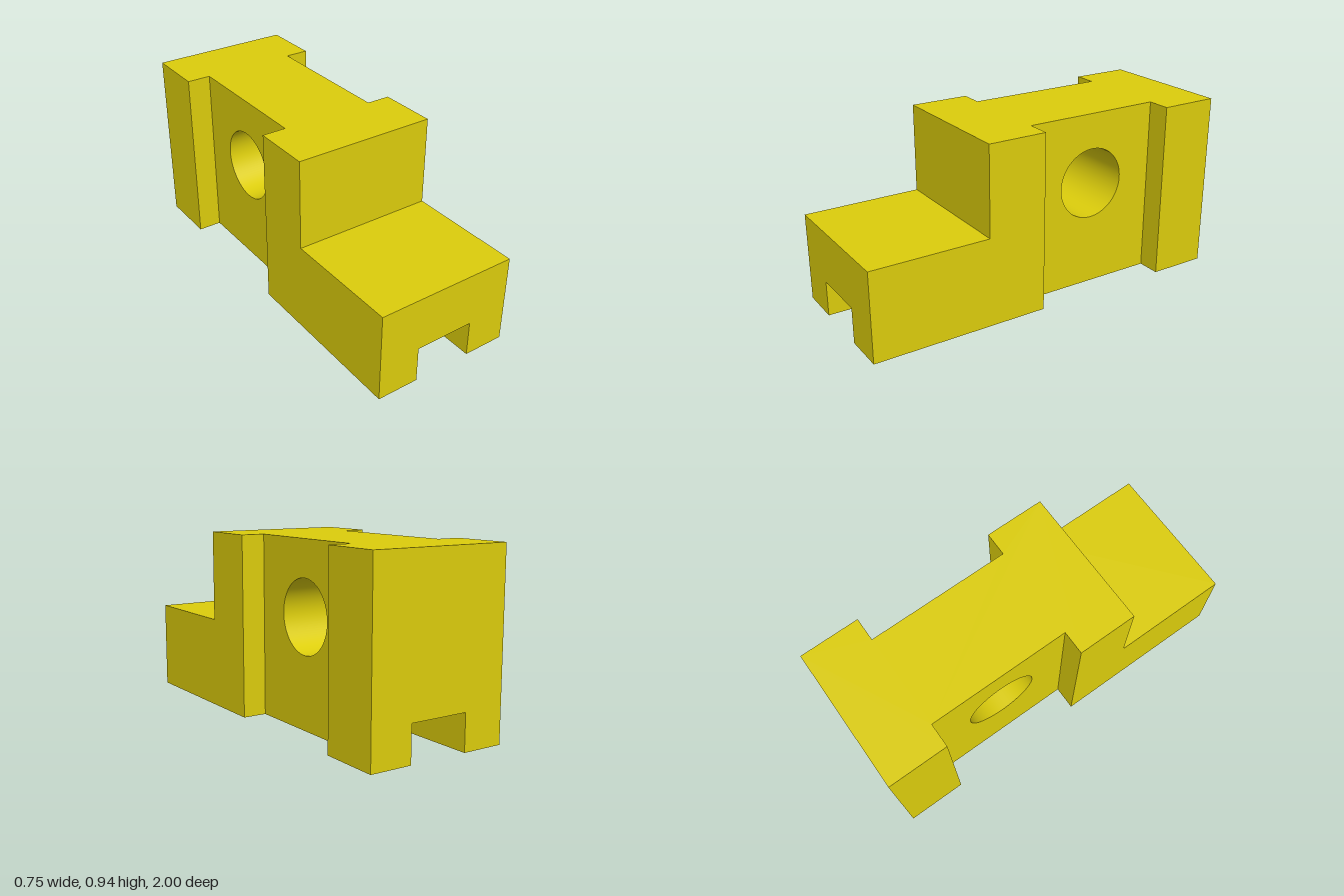
import * as THREE from 'three';
import { mergeGeometries } from 'three/addons/utils/BufferGeometryUtils.js';

const W = 0.375, WAIST = 0.25;               // half widths of the ends and the waist
const H = 0.9375, STEP = 0.469;              // heights of the block and the front step
const GROOVE = 0.156, GROOVE_TOP = 0.1875;   // half width and height of the bottom groove
const Z_STEP = 0.375, Z_A = 0.0625, Z_B = -0.6875;
const HOLE = { z: -0.3125, y: 0.5625, r: 0.1875 };

const rect = (a0, b0, a1, b1) => [[a0, b0], [a1, b0], [a1, b1], [a0, b1]];

// Flat panel facing along +axis or -axis (s = 1 or -1) at position d.
// Corners are (z, y) on x panels, (x, z) on y panels and (x, y) on z panels.
function panel(axis, s, d, corners, hole) {
  const flat = {
    x: ([z, y]) => new THREE.Vector2(-s * z, y),
    y: ([x, z]) => new THREE.Vector2(x, -s * z),
    z: ([x, y]) => new THREE.Vector2(s * x, y),
  }[axis];
  const shape = new THREE.Shape(corners.map(flat));
  if (hole) {
    const c = flat([hole.z, hole.y]);
    shape.holes.push(new THREE.Path().absarc(c.x, c.y, hole.r, 0, Math.PI * 2, true));
  }
  const geo = new THREE.ShapeGeometry(shape, 48);
  if (axis === 'x') return geo.rotateY(s * Math.PI / 2).translate(d, 0, 0);
  if (axis === 'y') return geo.rotateX(-s * Math.PI / 2).translate(0, d, 0);
  return geo.rotateY(s > 0 ? 0 : Math.PI).translate(0, 0, d);
}

export function createModel() {
  const model = new THREE.Group();
  const yellow = new THREE.MeshStandardMaterial({ color: 0xdccd0c });
  const add = (name, geos, material = yellow) => {
    const mesh = new THREE.Mesh(mergeGeometries(geos), material);
    mesh.name = name;
    model.add(mesh);
  };

  // Plan outline of the right half, from front to back, with the waist cut in
  const sidePlan = (front) => [
    [W, front], [W, Z_A], [WAIST, Z_A], [WAIST, Z_B], [W, Z_B], [W, -1],
  ];

  // Top of the block and the lowered front step
  const half = sidePlan(Z_STEP);
  add('blockTop', [panel('y', 1, H, [...half, ...half.map(([x, z]) => [-x, z]).reverse()])]);
  add('frontStep', [
    panel('y', 1, STEP, rect(-W, Z_STEP, W, 1)),
    panel('z', 1, Z_STEP, rect(-W, STEP, W, H)),
  ]);

  // End faces, notched by the groove
  const endFace = (top) => [
    [-W, 0], [-GROOVE, 0], [-GROOVE, GROOVE_TOP], [GROOVE, GROOVE_TOP],
    [GROOVE, 0], [W, 0], [W, top], [-W, top],
  ];
  add('frontEnd', [panel('z', 1, 1, endFace(STEP))]);
  add('backEnd', [panel('z', -1, -1, endFace(H))]);

  // Left and right sides: stepped front, recessed waist, rear post, shoulders, foot
  for (const s of [1, -1]) {
    const side = s > 0 ? 'left' : 'right';
    add(side + 'Side', [
      panel('x', s, s * W, [[1, 0], [1, STEP], [Z_STEP, STEP], [Z_STEP, H], [Z_A, H], [Z_A, 0]]),
      panel('x', s, s * W, rect(-1, 0, Z_B, H)),
    ]);
    add(side + 'Waist', [
      panel('x', s, s * WAIST, rect(Z_B, 0, Z_A, H), HOLE),
      panel('z', -1, Z_A, rect(s * WAIST, 0, s * W, H)),
      panel('z', 1, Z_B, rect(s * WAIST, 0, s * W, H)),
    ]);
    add(side + 'Foot', [
      panel('y', -1, 0, [[GROOVE, 1], ...sidePlan(1), [GROOVE, -1]].map(([x, z]) => [s * x, z])),
      panel('x', -s, s * GROOVE, rect(-1, 0, 1, GROOVE_TOP)),
    ]);
  }

  // Ceiling of the groove along the underside
  add('grooveCeiling', [panel('y', -1, GROOVE_TOP, rect(-GROOVE, -1, GROOVE, 1))]);

  // Round bore through the waist
  const inside = yellow.clone();
  inside.side = THREE.DoubleSide;
  const bore = new THREE.CylinderGeometry(HOLE.r, HOLE.r, 2 * WAIST, 96, 1, true);
  add('bore', [bore.rotateZ(Math.PI / 2).translate(0, HOLE.y, HOLE.z)], inside);

  return model;
}
